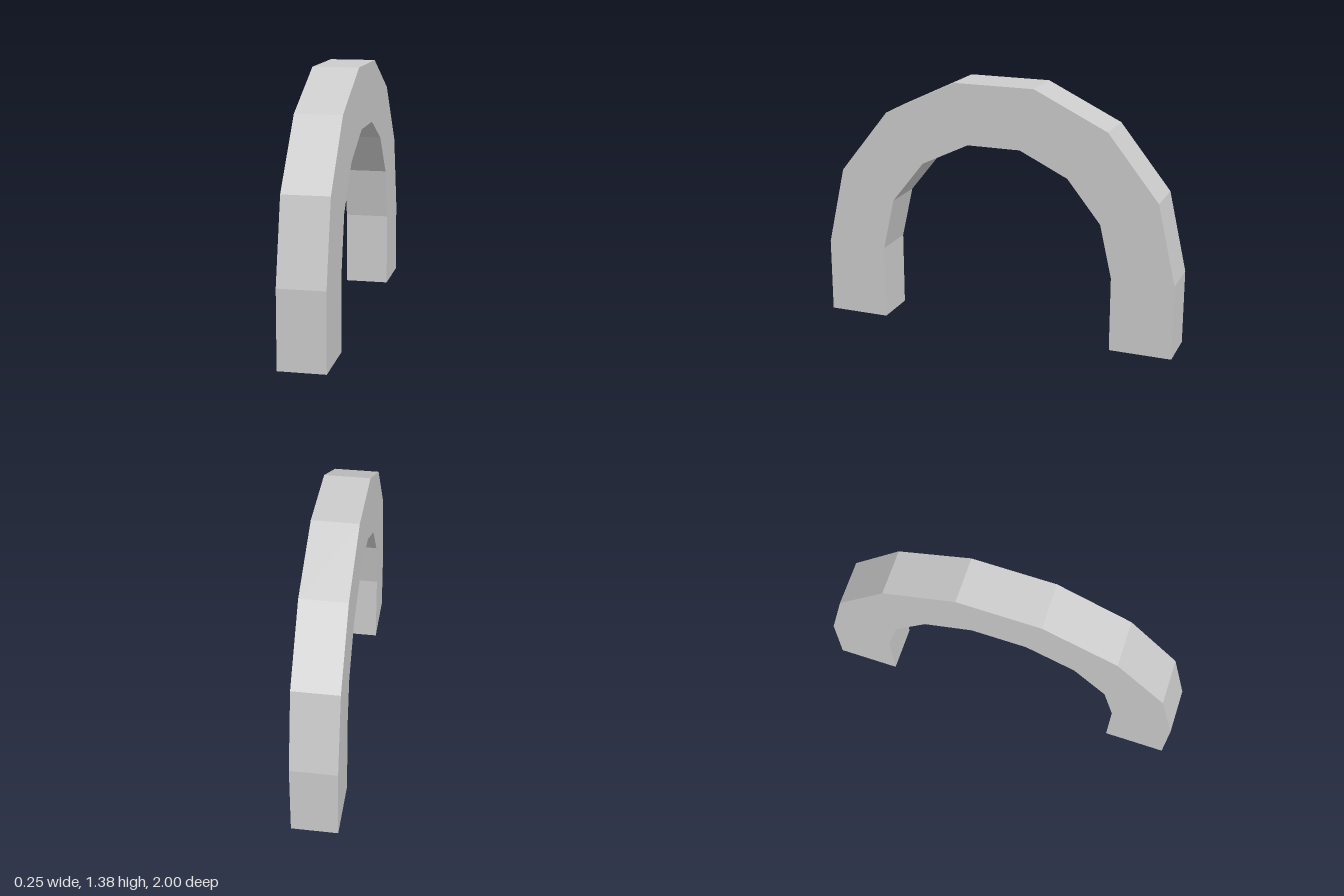
import * as THREE from 'three';

const OUTER = 1, INNER = 0.66, SPRING = 0.41, WIDTH = 0.246, SEGMENTS = 7;

// Points of a faceted half circle resting on the leg tops
function arc(radius) {
  return Array.from({ length: SEGMENTS + 1 }, (_, i) => {
    const a = (i / SEGMENTS) * Math.PI;
    return new THREE.Vector2(radius * Math.cos(a), SPRING + radius * Math.sin(a));
  });
}

export function createModel() {
  const group = new THREE.Group();
  group.name = 'archway';

  // Outline: up and over the outside, back along the inside
  const outline = new THREE.Shape([
    new THREE.Vector2(OUTER, 0), ...arc(OUTER), new THREE.Vector2(-OUTER, 0),
    new THREE.Vector2(-INNER, 0), ...arc(INNER).reverse(), new THREE.Vector2(INNER, 0),
  ]);

  // Thicken the outline and turn the span to run front to back
  const geometry = new THREE.ExtrudeGeometry(outline, { depth: WIDTH, bevelEnabled: false });
  geometry.translate(0, 0, -WIDTH / 2).rotateY(Math.PI / 2);

  const arch = new THREE.Mesh(
    geometry,
    new THREE.MeshStandardMaterial({ color: 0xcccccc, flatShading: true })
  );
  arch.name = 'arch';
  group.add(arch);
  return group;
}
